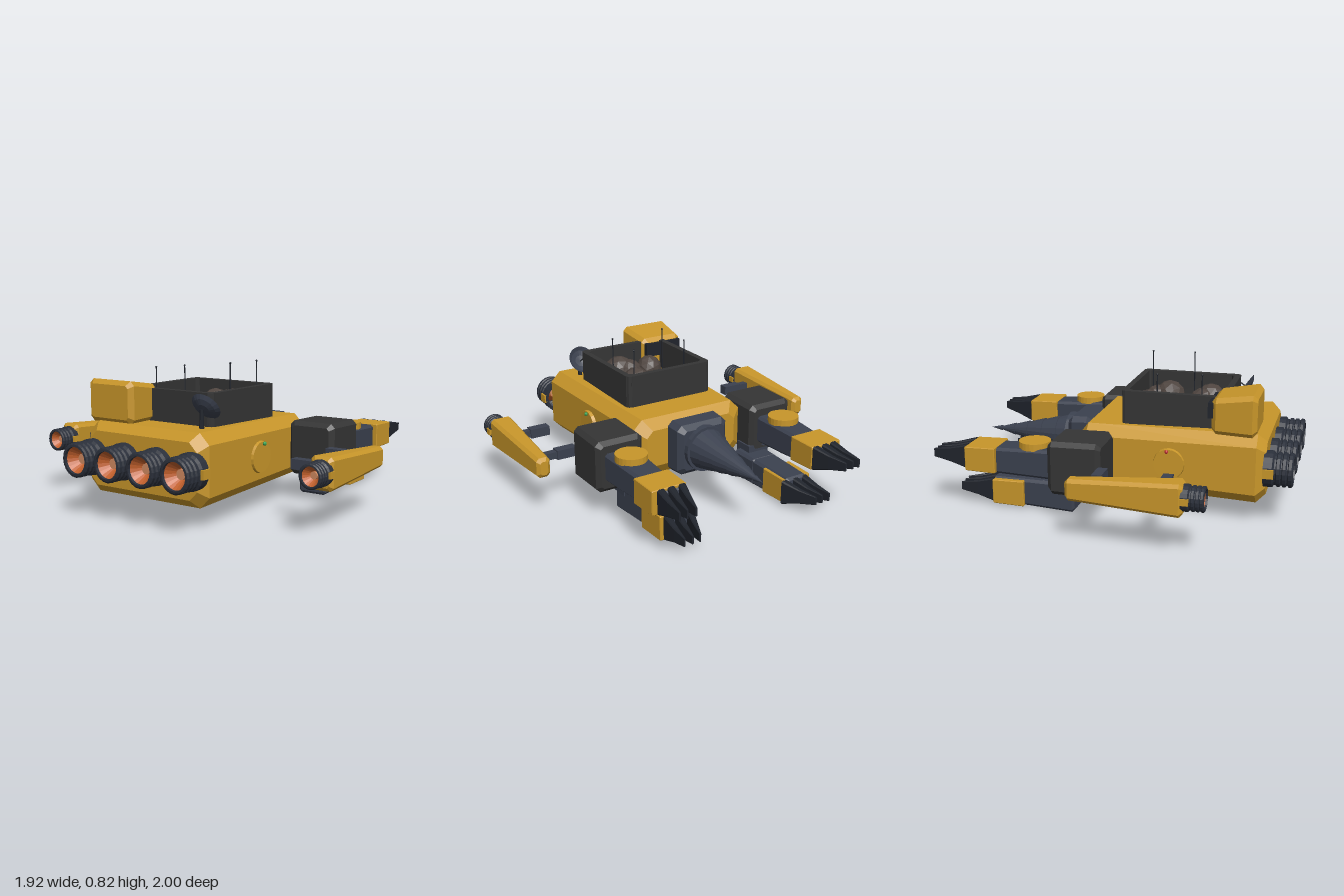
import * as THREE from 'three';

const mat = (color, side = THREE.FrontSide) =>
  new THREE.MeshStandardMaterial({ color, side, flatShading: true });
const GOLD = mat(0xc8962a), SLATE = mat(0x3b414f), DARK = mat(0x353535), BLACK = mat(0x20242c);
const ROCK = mat(0x4f4540), RED = mat(0xc03030), GREEN = mat(0x30a050), CORE = mat(0xd08a60);
const SLATE2 = mat(0x2b303b, THREE.DoubleSide), ORANGE = mat(0xc2602c, THREE.DoubleSide);

function add(parent, name, geo, material, x = 0, y = 0, z = 0) {
  const m = new THREE.Mesh(geo, material);
  m.name = name;
  m.position.set(x, y, z);
  parent.add(m);
  return m;
}

// Chamfered rectangular cross-sections [z, cx, cy, halfW, halfH, chamfer] joined along z
function loft(sections) {
  const rings = sections.map(([z, cx, cy, w, h, c]) =>
    [[w, c - h], [w, h - c], [w - c, h], [c - w, h], [-w, h - c], [-w, c - h], [c - w, -h], [w - c, -h]]
      .map(([x, y]) => [cx + x, cy + y, z]));
  const p = [];
  const tri = (a, b, c) => p.push(...a, ...b, ...c);
  for (let s = 0; s < rings.length - 1; s++) {
    const a = rings[s], b = rings[s + 1];
    for (let i = 0; i < 8; i++) {
      const j = (i + 1) % 8;
      tri(a[i], a[j], b[j]);
      tri(a[i], b[j], b[i]);
    }
  }
  const first = rings[0], last = rings[rings.length - 1];
  for (let i = 1; i < 7; i++) {
    tri(first[0], first[i + 1], first[i]);
    tri(last[0], last[i], last[i + 1]);
  }
  const g = new THREE.BufferGeometry();
  g.setAttribute('position', new THREE.Float32BufferAttribute(p, 3));
  g.computeVertexNormals();
  return g;
}

// Tapered box with all edges bevelled; a and b are [cx, cy, halfW, halfH] at z0 < z1
function bevelBox(z0, a, z1, b, c = 0.02) {
  const inset = ([x, y, w, h]) => [x, y, w - c, h - c, c * 0.6];
  return loft([[z0, ...inset(a)], [z0 + c, ...a, c], [z1 - c, ...b, c], [z1, ...inset(b)]]);
}

// Lathe turned so that its axis runs along z; points are [radius, z]
const latheZ = (pts, n = 20) =>
  new THREE.LatheGeometry(pts.map(([r, z]) => new THREE.Vector2(r, z)), n).rotateX(Math.PI / 2);
const discZ = (r, d, n = 20) => new THREE.CylinderGeometry(r, r, d, n).rotateX(Math.PI / 2);

// Ribbed rocket nozzle of outer radius r and length len, starting at z
function nozzle(parent, x, y, z, r, len) {
  const g = new THREE.Group();
  g.name = 'engine';
  g.position.set(x, y, z);
  parent.add(g);
  const shell = [[r * 0.8, 0], [r, 0], [r, len * 0.3], [r * 0.86, len * 0.36]];
  for (let i = 0; i < 3; i++) {
    const t = len * (0.42 + i * 0.2);
    shell.push([r * 0.86, t], [r * 0.95, t + len * 0.03], [r * 0.95, t + len * 0.13], [r * 0.86, t + len * 0.17]);
  }
  shell.push([r * 0.74, len], [r * 0.72, len * 0.8]);
  add(g, 'nozzleShell', latheZ(shell), SLATE2);
  add(g, 'nozzleGlow', latheZ([[r * 0.73, len * 0.9], [r * 0.3, len * 0.55], [0, len * 0.55]]), ORANGE);
  add(g, 'nozzleCore', discZ(r * 0.28, 0.02, 12), CORE, 0, 0, len * 0.58);
  for (const s of [-1, 1])
    add(g, 'mountLug', new THREE.BoxGeometry(r * 0.18, r * 0.5, len * 0.36), GOLD, s * r * 0.98, 0, len * 0.18);
}

// Arm, three claws converging at the tip, and coloured side plates
function clawArm(parent, name, z0, a, z1, b, plateZ, claws) {
  const g = new THREE.Group();
  g.name = name;
  parent.add(g);
  add(g, 'armBeam', bevelBox(z0, a, z1, b, 0.015), SLATE);
  const zMid = (plateZ + z0) / 2;
  const [cx, cy, w, h] = b;
  add(g, 'armBand', bevelBox(z0 + 0.01, [cx, cy, w + 0.004, h - 0.014], plateZ, [cx, cy, w + 0.007, h - 0.01], 0.004), GOLD);
  add(g, 'armCollar', bevelBox(zMid + 0.2, [a[0], a[1], a[2] + 0.006, a[3] + 0.006], zMid + 0.23, [a[0], a[1], a[2] + 0.006, a[3] + 0.006], 0.01), SLATE);
  for (const [xBase, xTip] of claws)
    add(g, 'claw', loft([
      [z0 - 0.19, xTip, cy + 0.01, 0.005, 0.024, 0.002],
      [z0 - 0.09, (xBase + xTip) / 2, cy + 0.005, 0.015, 0.042, 0.005],
      [z0 + 0.01, xBase, cy, 0.022, h * 0.85, 0.008]]), BLACK);
}

export function createModel() {
  const model = new THREE.Group();
  model.name = 'miningShip';

  // Hull
  add(model, 'hull', loft([
    [-0.22, 0, 0.32, 0.30, 0.11, 0.04], [-0.17, 0, 0.315, 0.365, 0.175, 0.06],
    [0.8, 0, 0.315, 0.41, 0.195, 0.06], [0.85, 0, 0.315, 0.37, 0.15, 0.05]]), GOLD);
  for (const x of [-0.34, -0.113, 0.113, 0.34]) nozzle(model, x, 0.32, 0.84, 0.1, 0.16);

  // Drill with collar
  add(model, 'drillMount', bevelBox(-0.35, [0, 0.32, 0.165, 0.15], -0.2, [0, 0.32, 0.17, 0.155], 0.03), SLATE);
  add(model, 'drillCollar', discZ(0.135, 0.05), SLATE, 0, 0.32, -0.355);
  const drill = [[0, -0.9]];
  for (const z of [-0.83, -0.74, -0.65, -0.55, -0.45, -0.36]) {
    const r = 0.125 * (z + 0.9) / 0.54;
    drill.push([r, z], [r - 0.005, z + 0.002]);
  }
  add(model, 'drill', latheZ(drill, 18), mat(0x3b414f, THREE.DoubleSide), 0, 0.32, 0);

  // Open cargo box with posts at the corners
  const cargo = new THREE.Group();
  cargo.name = 'cargoBox';
  model.add(cargo);
  for (const s of [-1, 1]) {
    add(cargo, 'sideWall', new THREE.BoxGeometry(0.035, 0.19, 0.55), DARK, s * 0.268, 0.59, 0.315);
    add(cargo, 'endWall', new THREE.BoxGeometry(0.52, 0.19, 0.035), DARK, 0, 0.59, 0.315 + s * 0.28);
    for (const t of [-1, 1])
      add(cargo, 'cornerPost', new THREE.CylinderGeometry(0.028, 0.028, 0.19, 8), DARK, s * 0.257, 0.59, 0.315 + t * 0.27);
  }

  // Ore
  [[-0.06, 0.12, 0.08], [0.1, 0.14, 0.075], [0.12, 0.21, 0.09],
    [-0.1, 0.43, 0.078], [0.05, 0.42, 0.08], [0.1, 0.46, 0.09]].forEach(([x, z, r], i) => {
    const rock = add(model, 'oreRock', new THREE.IcosahedronGeometry(r, 1), ROCK, x, 0.5 + r * 0.8, z);
    rock.rotation.set(i * 1.3, i * 0.7, i * 2.1);
  });

  // Antennas
  for (const [x, z, top] of [[-0.22, 0.465, 0.785], [0.205, 0.34, 0.82], [-0.22, 0.21, 0.775], [0.205, 0.085, 0.815]]) {
    add(model, 'antenna', new THREE.CylinderGeometry(0.003, 0.004, top - 0.5, 6), BLACK, x, (top + 0.5) / 2, z);
    add(model, 'antennaTip', new THREE.SphereGeometry(0.006, 8, 6), BLACK, x, top, z);
  }

  // Cabin with rear window
  add(model, 'cabin', bevelBox(0.55, [-0.27, 0.605, 0.14, 0.1], 0.8, [-0.27, 0.62, 0.16, 0.117], 0.025), GOLD);
  add(model, 'cabinWindow', new THREE.BoxGeometry(0.25, 0.085, 0.03), BLACK, -0.27, 0.635, 0.545);

  // Radar dish
  const dish = new THREE.Group();
  dish.name = 'radarDish';
  dish.position.set(0.265, 0.6, 0.665);
  dish.rotation.x = -0.95;
  model.add(dish);
  const bowl = [[0, 0], [0.035, 0.005], [0.065, 0.017], [0.086, 0.034]].map(([r, y]) => new THREE.Vector2(r, y));
  add(dish, 'dishBowl', new THREE.LatheGeometry(bowl, 20), mat(0x3b414f, THREE.DoubleSide));
  add(dish, 'dishFeed', new THREE.CylinderGeometry(0.004, 0.004, 0.08, 6), BLACK, 0, 0.04, 0);
  add(dish, 'dishFeedTip', new THREE.SphereGeometry(0.01, 8, 6), BLACK, 0, 0.08, 0);
  add(model, 'dishPost', new THREE.CylinderGeometry(0.01, 0.014, 0.11, 8), BLACK, 0.265, 0.55, 0.675);

  for (const s of [-1, 1]) {
    const side = new THREE.Group();
    side.name = s > 0 ? 'leftSide' : 'rightSide';
    model.add(side);

    // Shoulder and the two clawed arms
    add(side, 'shoulder', bevelBox(-0.3, [s * 0.515, 0.32, 0.145, 0.15], 0, [s * 0.515, 0.32, 0.145, 0.155], 0.025), DARK);
    clawArm(side, 'upperArm', -0.81, [s * 0.51, 0.31, 0.07, 0.07], -0.28, [s * 0.515, 0.32, 0.098, 0.083], -0.62,
      [[s * 0.565, s * 0.58], [s * 0.505, s * 0.535], [s * 0.44, s * 0.485]]);
    add(side, 'armJoint', new THREE.CylinderGeometry(0.09, 0.09, 0.04, 24), GOLD, s * 0.515, 0.41, -0.415);
    clawArm(side, 'lowerArm', -0.7, [s * 0.4, 0.1, 0.075, 0.075], -0.2, [s * 0.41, 0.095, 0.09, 0.085], -0.5,
      [[s * 0.46, s * 0.48], [s * 0.395, s * 0.43], [s * 0.32, s * 0.385]]);
    add(side, 'lowerArmBracket', new THREE.BoxGeometry(0.14, 0.1, 0.12), SLATE, s * 0.43, 0.17, -0.24);

    // Outrigger engine pod on two struts
    add(side, 'pod', bevelBox(-0.11, [s * 0.885, 0.31, 0.04, 0.058], 0.51, [s * 0.885, 0.315, 0.065, 0.088], 0.018), GOLD);
    nozzle(side, s * 0.885, 0.32, 0.5, 0.07, 0.12);
    for (const z of [0.015, 0.375]) {
      add(side, 'strut', new THREE.BoxGeometry(0.12, 0.055, 0.055), SLATE, s * 0.7, 0.32, z);
      add(side, 'strutPin', new THREE.BoxGeometry(0.12, 0.04, 0.04), SLATE, s * 0.8, 0.32, z);
    }

    // Hull hatch and navigation light
    const hatch = new THREE.CylinderGeometry(0.085, 0.09, 0.02, 20).rotateZ(-s * Math.PI / 2);
    add(side, 'sideHatch', hatch, GOLD, s * 0.395, 0.315, 0.32);
    add(side, 'navigationLight', new THREE.SphereGeometry(0.011, 8, 6), s > 0 ? GREEN : RED, s * 0.415, 0.39, 0.31);

    // Belly vents
    for (const z of [0.06, 0.2, 0.45, 0.6])
      add(side, 'bellyVent', new THREE.BoxGeometry(0.06, 0.02, 0.035), DARK, s * 0.16, 0.125, z);
  }

  // Belly hatch
  add(model, 'bellyRing', new THREE.TorusGeometry(0.075, 0.012, 8, 24).rotateX(Math.PI / 2), DARK, 0, 0.125, 0.25);
  add(model, 'bellySensor', new THREE.CylinderGeometry(0.025, 0.018, 0.04, 12), GOLD, 0.04, 0.108, 0.43);
  return model;
}
